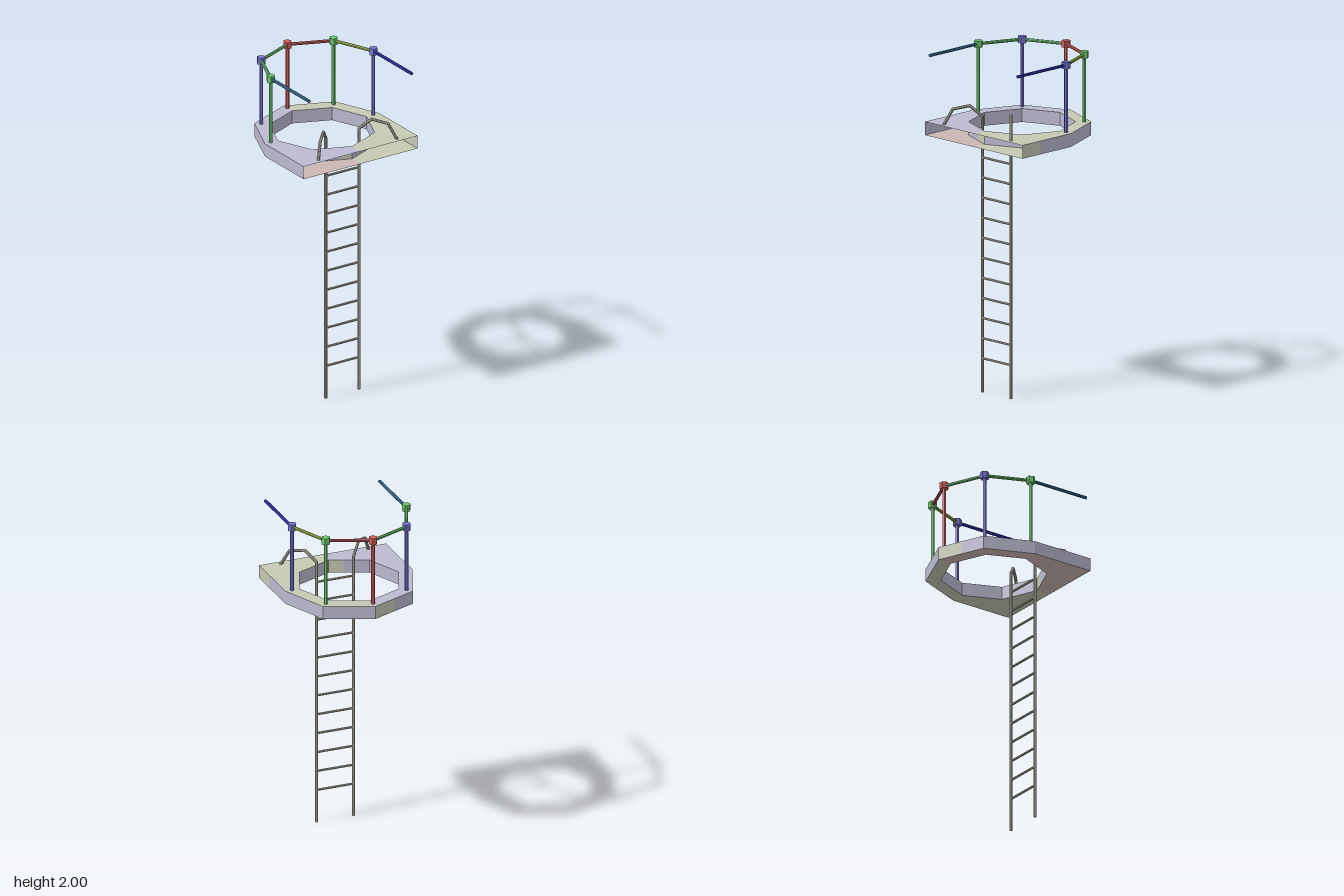
import * as THREE from 'three';

const mat = (name, color) => new THREE.MeshStandardMaterial({ name, color, side: THREE.DoubleSide, flatShading: true });

export function createModel() {
  const M = {
    lavender: mat('lavender', 0xbcbad0), olive: mat('olive', 0xc6cab4), mauve: mat('mauve', 0xcbb6b2),
    steel: mat('ladder grey', 0xbdbdac), green: mat('green', 0x6fcb70), red: mat('red', 0xd25c5c),
    blue: mat('blue', 0x7474d2), lime: mat('lime', 0x9cbc38), deepBlue: mat('deep blue', 0x3a36c4),
    teal: mat('teal blue', 0x3f7ba6),
  };
  const model = new THREE.Group();
  model.name = 'lookoutPlatform';
  const group = (name) => {
    const g = new THREE.Group();
    g.name = name;
    model.add(g);
    return g;
  };
  const add = (parent, name, geo, material) => {
    const m = new THREE.Mesh(geo, material);
    m.name = name;
    parent.add(m);
    return m;
  };
  // Straight bar between two points
  const bar = (parent, name, a, b, r, material, sides = 6) => {
    const A = new THREE.Vector3(...a), B = new THREE.Vector3(...b);
    const d = B.clone().sub(A);
    const m = add(parent, name, new THREE.CylinderGeometry(r, r, d.length(), sides), material);
    m.position.copy(A).add(B).multiplyScalar(0.5);
    m.quaternion.setFromUnitVectors(new THREE.Vector3(0, 1, 0), d.normalize());
  };

  // Platform: hollow ring, open along its front edge
  const Y0 = 1.503, Y1 = 1.582;
  const platform = group('platform');
  const outer = [[0, -0.395], [0.28, -0.28], [0.395, 0], [0.395, 0.395]];
  const inner = [[0, 0.307], [0.217, 0.217], [0.307, 0], [0.217, -0.217], [0, -0.307]];
  const wall = (name, a, b, material) => {
    const g = new THREE.PlaneGeometry(Math.hypot(b[0] - a[0], b[1] - a[1]), Y1 - Y0);
    const m = add(platform, name, g, material);
    m.position.set((a[0] + b[0]) / 2, (Y0 + Y1) / 2, (a[1] + b[1]) / 2);
    m.rotation.y = -Math.atan2(b[1] - a[1], b[0] - a[0]);
  };
  // Wall in two colours, divided at fraction t
  const splitWall = (name, a, b, t, m1, m2) => {
    const c = [a[0] + (b[0] - a[0]) * t, a[1] + (b[1] - a[1]) * t];
    wall(name, a, c, m1);
    wall(name, c, b, m2);
  };
  for (const s of [1, -1]) {
    const flip = (pts) => pts.map(([x, z]) => [x * s, z]);
    const o = flip(outer), n = flip(inner);
    const outline = [...o, [0, 0.395], ...n].map(([x, z]) => new THREE.Vector2(x, -z));
    const deck = (name, y, up, material) => {
      const g = new THREE.ShapeGeometry(new THREE.Shape(outline)).rotateX(-Math.PI / 2);
      if (!up) {
        // Underside: reverse the corner order
        g.setIndex(Array.from(g.index.array).reverse());
        g.computeVertexNormals();
      }
      add(platform, name, g, material).position.y = y;
    };
    deck('deckTop', Y1, true, s > 0 ? M.olive : M.lavender);
    deck('deckUnderside', Y0, false, s > 0 ? M.olive : M.mauve);
    // Rim and hole walls, drawn so that they face away from the ring's body
    for (let i = 0; i < 3; i++) {
      const [a, b] = s > 0 ? [o[i + 1], o[i]] : [o[i], o[i + 1]];
      if (s > 0 && i === 2) splitWall('rim', a, b, 0.37, M.olive, M.lavender);
      else if (s < 0 && i === 0) splitWall('rim', a, b, 0.5, M.olive, M.lavender);
      else wall('rim', a, b, M.lavender);
    }
    for (let i = 0; i < 4; i++) {
      const [a, b] = s > 0 ? [n[i + 1], n[i]] : [n[i], n[i + 1]];
      if (s < 0 && i === 0) splitWall('holeWall', a, b, 0.37, M.olive, M.lavender);
      else wall('holeWall', a, b, M.lavender);
    }
  }

  // Railing: posts with six-sided joints, joined by handrails
  const railing = group('railing');
  const RY = 1.98;
  const posts = [
    [-0.355, 0, M.green], [-0.251, -0.252, M.blue], [0, -0.355, M.red],
    [0.251, -0.252, M.green], [0.355, 0, M.blue],
  ];
  for (const [x, z, m] of posts) {
    bar(railing, 'post', [x, Y1, z], [x, RY, z], 0.011, m);
    const joint = add(railing, 'joint', new THREE.CylinderGeometry(0.026, 0.026, 0.04, 6), m);
    joint.position.set(x, RY, z);
    joint.rotation.y = Math.PI / 6;
  }
  const stops = [[-0.355, 0.395], ...posts, [0.355, 0.395]];
  [M.teal, M.green, M.green, M.red, M.lime, M.deepBlue].forEach((m, i) => {
    const [a, b] = [stops[i], stops[i + 1]];
    bar(railing, 'handrail', [a[0], RY, a[1]], [b[0], RY, b[1]], 0.0095, m, 8);
  });

  // Ladder: side rails curving out into grab handles, and rungs
  const ladder = group('ladder');
  const X = 0.115, Z = 0.207, R = 0.009;
  const handle = [[0, 1.63], [0.052, 1.693], [0.12, 1.673], [0.158, 1.578]];
  for (const s of [1, -1]) {
    const pts = handle.map(([d, y]) => [s * (X + d), y, Z + d]);
    bar(ladder, 'sideRail', [s * X, 0, Z], pts[0], R, M.steel, 8);
    for (let i = 0; i < 3; i++) {
      bar(ladder, 'grabHandle', pts[i], pts[i + 1], R, M.steel, 8);
      add(ladder, 'elbow', new THREE.SphereGeometry(R, 8, 6), M.steel).position.set(...pts[i]);
    }
  }
  for (let i = 0; i < 12; i++) {
    const y = 0.2 + i * 0.1188;
    bar(ladder, 'rung', [-X, y, Z], [X, y, Z], 0.007, M.steel, 8);
  }
  return model;
}
